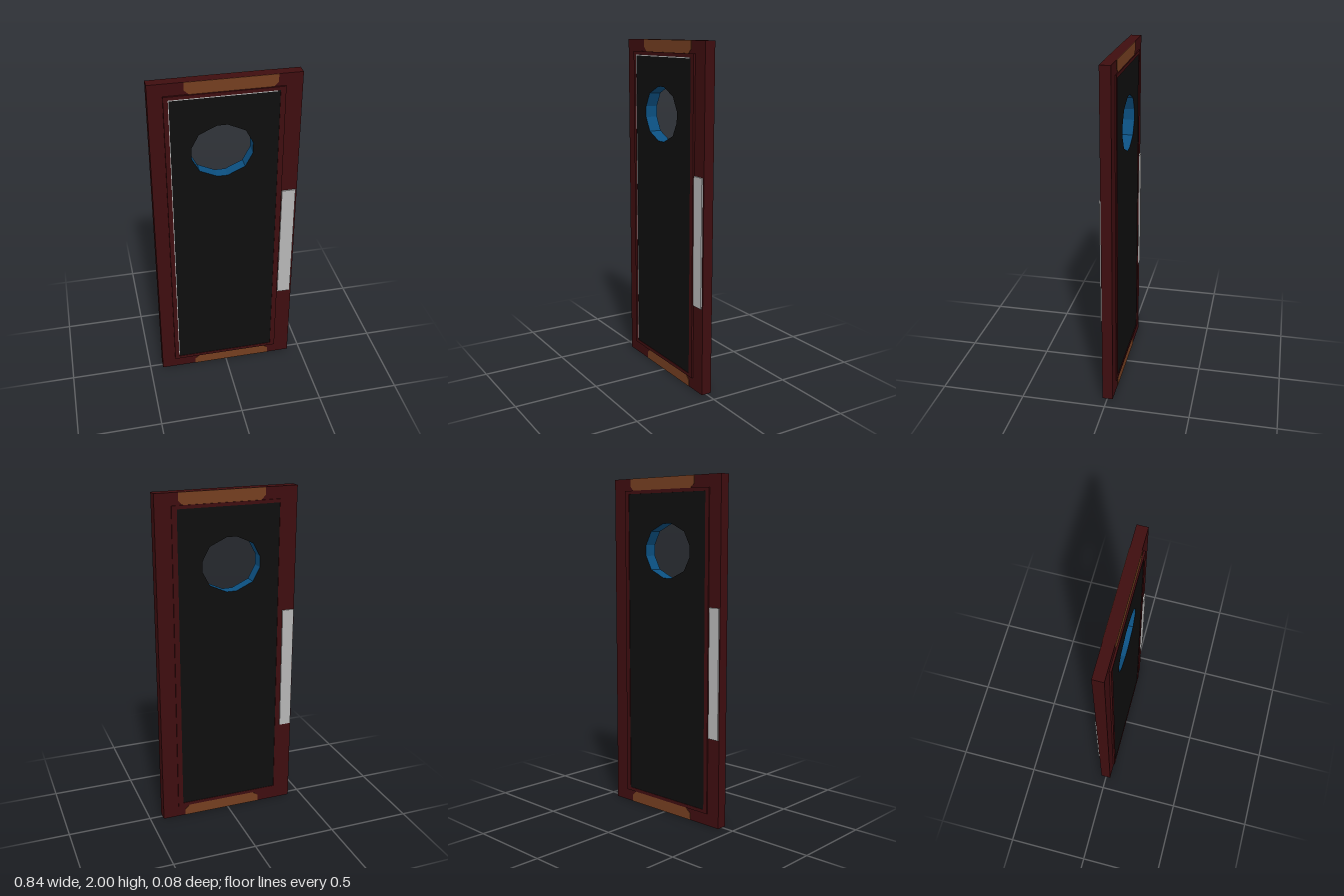
import * as THREE from 'three';

const mat = (name, color, side = THREE.FrontSide) => {
  const m = new THREE.MeshStandardMaterial({ color, side });
  m.name = name;
  return m;
};

const rect = (x0, x1, y0, y1) => [[x0, y0], [x1, y0], [x1, y1], [x0, y1]];
const toPoints = (list) => list.map(([x, y]) => new THREE.Vector2(x, y));

// Extrudes an outline, with an optional hole, between two depths
function slab(outline, hole, z0, z1) {
  const shape = new THREE.Shape(toPoints(outline));
  if (hole) shape.holes.push(new THREE.Path(toPoints(hole)));
  const geo = new THREE.ExtrudeGeometry(shape, { depth: z1 - z0, bevelEnabled: false });
  return geo.translate(0, 0, z0);
}

export function createModel() {
  const door = new THREE.Group();
  door.name = 'door';
  const wood = mat('dark red wood', 0x3e0d0f);
  const black = mat('black panel', 0x0e0e0e);
  const brown = mat('brown trim', 0x743e20);
  const grey = mat('grey metal', 0xb6b6b6);
  const blue = mat('blue window lining', 0x0b4f80);

  const add = (name, geo, material) => {
    const mesh = new THREE.Mesh(geo, material);
    mesh.name = name;
    door.add(mesh);
  };

  const back = -0.033, front = 0.029;
  const raised = rect(-0.338, 0.325, 0.07, 1.93);
  const opening = rect(-0.312, 0.295, 0.09, 1.91);

  // Outer frame and the thicker moulding inside it
  add('outerFrame', slab(rect(-0.42, 0.42, 0, 2), raised, back, front), wood);
  add('moulding', slab(raised, opening, -0.04, 0.04), wood);

  // Panel with a twelve-sided porthole; its cut walls are blue
  const corners = [[0.03, 0.158], [0.13, 0.112], [0.173, 0.032]];
  const ring = [
    ...corners.map(([x, y]) => [x, y]),
    ...corners.map(([x, y]) => [x, -y]).reverse(),
    ...corners.map(([x, y]) => [-x, -y]),
    ...corners.map(([x, y]) => [-x, y]).reverse(),
  ].map(([x, y]) => [x - 0.022, y + 1.578]);
  add('panel', slab(opening, ring, -0.037, 0.037), [black, blue]);

  // Thin bright reveal along the panel's edge
  add('sideReveal', slab(rect(-0.313, -0.308, 0.1, 1.91), null, 0.036, 0.038), grey);
  add('topReveal', slab(rect(-0.308, 0.28, 1.904, 1.909), null, 0.036, 0.038), grey);

  // Chamfered trim plates above and below the panel, on both faces
  const topTrim = [[-0.225, 2], [-0.225, 1.955], [-0.198, 1.93], [0.26, 1.93], [0.285, 1.955], [0.285, 2]];
  const bottomTrim = [[-0.205, 0], [0.28, 0], [0.28, 0.04], [0.25, 0.068], [-0.17, 0.068], [-0.205, 0.04]];
  for (const [side, z] of [['front', front], ['back', back - 0.002]]) {
    add(side + 'TopTrim', slab(topTrim, null, z, z + 0.002), brown);
    add(side + 'BottomTrim', slab(bottomTrim, null, z, z + 0.002), brown);
  }

  // Push plates, at the right of each face as seen from that face
  add('frontPushPlate', slab(rect(0.33, 0.41, 0.52, 1.27), null, front, 0.037), grey);
  add('backPushPlate', slab(rect(-0.415, -0.345, 0.52, 1.27), null, -0.04, back), grey);

  return door;
}
